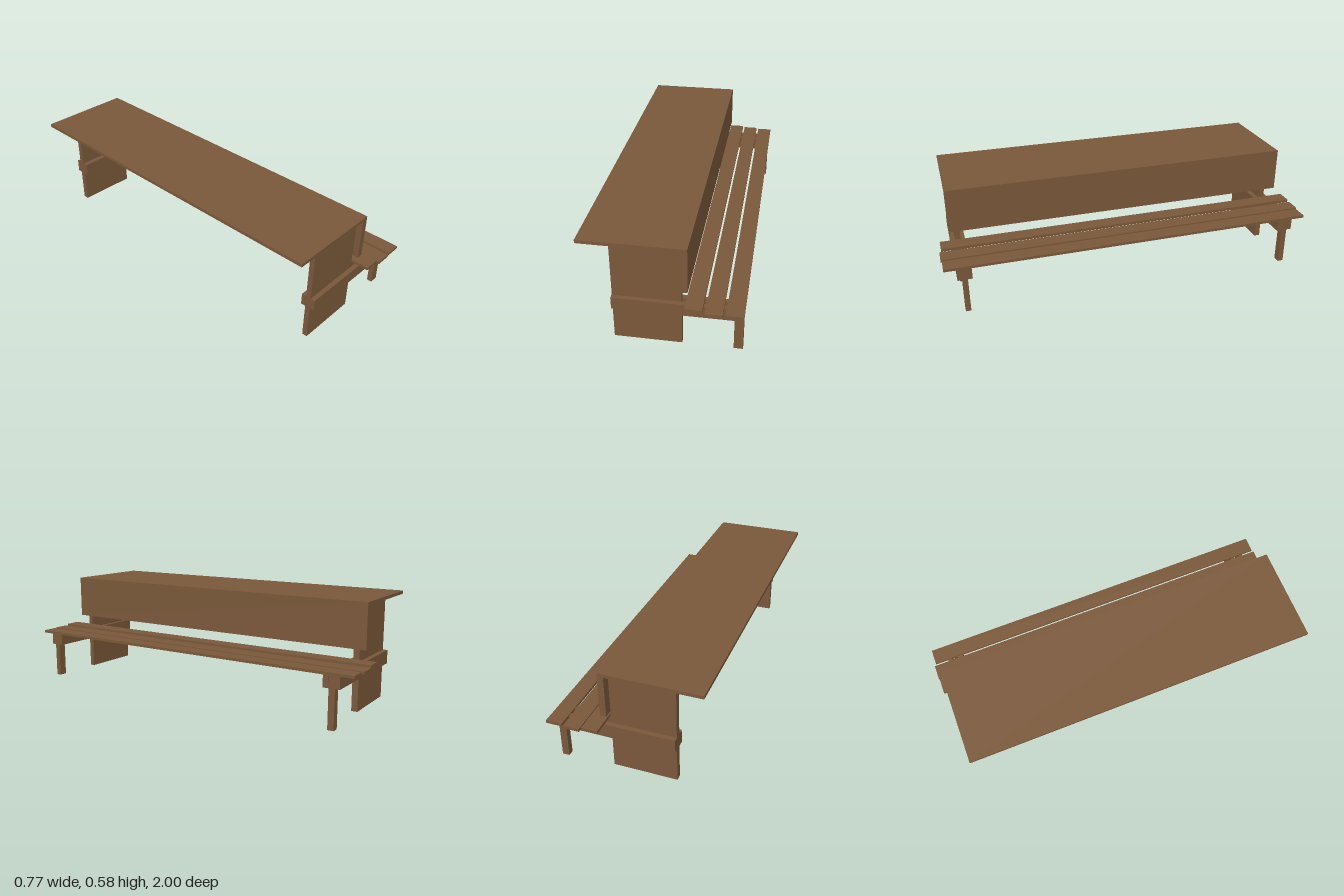
import * as THREE from 'three';

export function createModel() {
  const model = new THREE.Group();
  const wood = new THREE.MeshStandardMaterial({ color: 0x7a583a });
  wood.name = 'brownWood';

  // Box given by its extents on each axis
  function board(name, [x0, x1], [y0, y1], [z0, z1], parent = model) {
    const mesh = new THREE.Mesh(new THREE.BoxGeometry(x1 - x0, y1 - y0, z1 - z0), wood);
    mesh.position.set((x0 + x1) / 2, (y0 + y1) / 2, (z0 + z1) / 2);
    mesh.name = name;
    parent.add(mesh);
  }

  // Desk top with its hanging modesty panel, one L-shaped profile
  const profile = new THREE.Shape([
    [-0.385, 0.56], [0.09, 0.56], [0.09, 0.342], [0.122, 0.342], [0.122, 0.577], [-0.385, 0.577],
  ].map(([x, y]) => new THREE.Vector2(x, y)));
  const top = new THREE.Mesh(
    new THREE.ExtrudeGeometry(profile, { depth: 1.88, bevelEnabled: false }), wood);
  top.position.z = -0.94;
  top.name = 'deskTop';
  model.add(top);

  // End supports: a wide panel and a bench leg clamped between two rails
  const ends = [
    { name: 'frontSupport', z: [0.858, 0.882, 0.909, 0.933], railTop: 0.265, leg: [0.336, 0.38], foot: 0.017 },
    { name: 'backSupport', z: [-0.92, -0.895, -0.863, -0.834], railTop: 0.275, leg: [0.34, 0.377], foot: 0 },
  ];
  for (const { name, z, railTop, leg, foot } of ends) {
    const support = new THREE.Group();
    support.name = name;
    board('endPanel', [-0.24, 0.09], [0.017, 0.56], [z[1], z[2]], support);
    board('benchLeg', leg, [foot, 0.264], [z[1], z[2]], support);
    board('innerRail', [-0.241, 0.38], [0.203, railTop], [z[0], z[1]], support);
    board('outerRail', [-0.241, 0.38], [0.203, railTop], [z[2], z[3]], support);
    model.add(support);
  }

  // Bench slats, slightly uneven in height and length
  const slats = [
    [[0.114, 0.196], [0.276, 0.291], [-0.995, 0.99]],
    [[0.207, 0.289], [0.267, 0.281], [-1, 1]],
    [[0.302, 0.385], [0.266, 0.28], [-0.99, 0.995]],
  ];
  for (const [x, y, z] of slats) board('benchSlat', x, y, z);

  return model;
}
